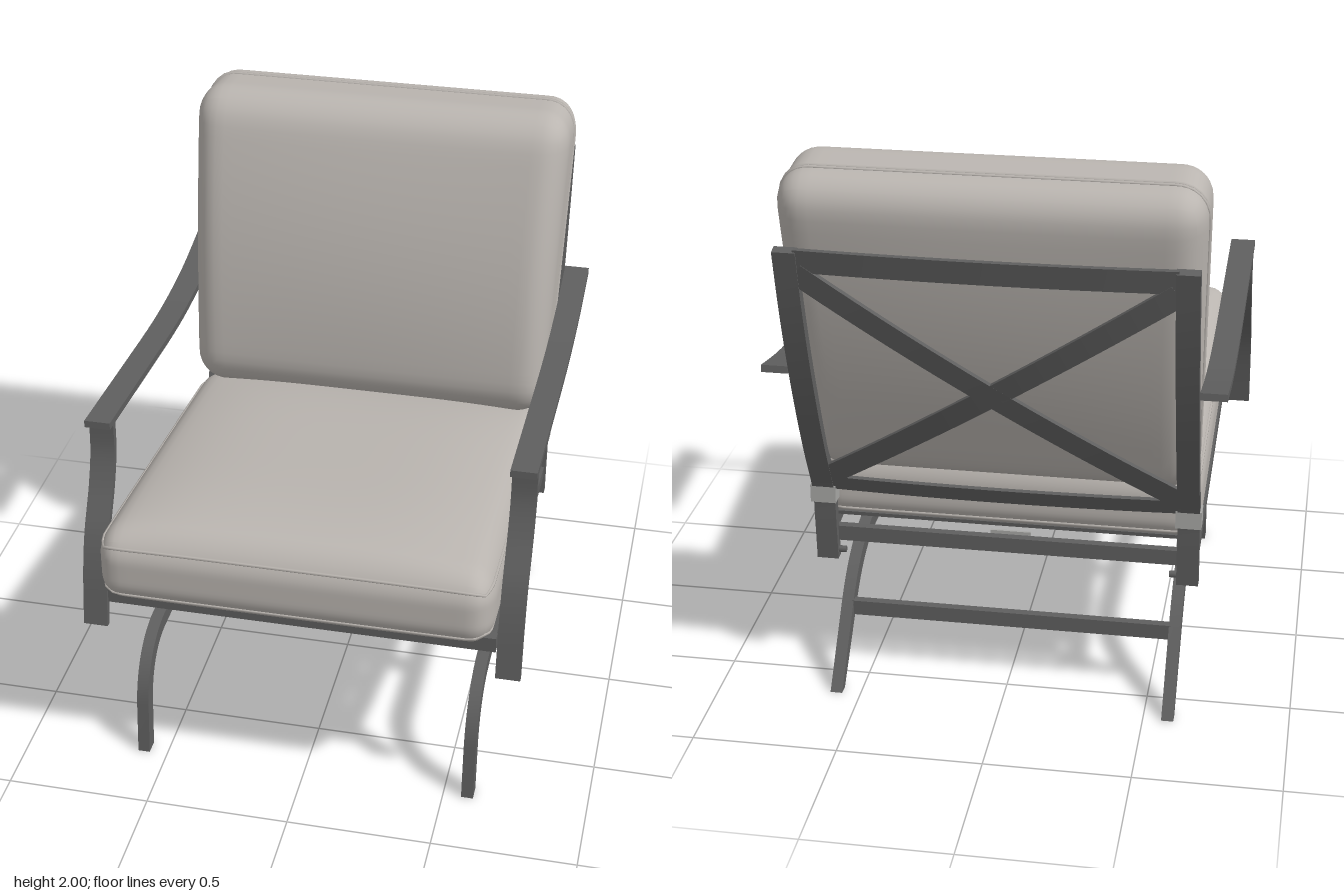
import * as THREE from 'three';
import { mergeVertices, toCreasedNormals } from 'three/addons/utils/BufferGeometryUtils.js';

const mat = (name, color) => {
  const m = new THREE.MeshStandardMaterial({ color });
  m.name = name;
  return m;
};

export function createModel() {
  const fabric = mat('warm grey fabric', 0xbab5b0);
  const metal = mat('dark grey metal', 0x5f5f5f);
  const plastic = mat('light grey plastic', 0xa8a8a6);
  const root = new THREE.Group();
  root.name = 'rockerChair';

  const add = (name, geo, material, x = 0, y = 0, z = 0) => {
    const mesh = new THREE.Mesh(geo, material);
    mesh.name = name;
    mesh.position.set(x, y, z);
    root.add(mesh);
    return mesh;
  };
  const box = (name, w, h, d, x, y, z, material = metal) =>
    add(name, new THREE.BoxGeometry(w, h, d), material, x, y, z);

  const smooth = (pts, n = 28) =>
    new THREE.SplineCurve(pts.map(p => new THREE.Vector2(...p))).getPoints(n);

  // Flat bar of constant thickness following a 2D path, extruded to a width
  function strip(pts, thick, width) {
    const a = [], b = [];
    pts.forEach((p, i) => {
      const t = pts[Math.min(i + 1, pts.length - 1)].clone().sub(pts[Math.max(i - 1, 0)]).normalize();
      const n = new THREE.Vector2(-t.y, t.x).multiplyScalar(thick / 2);
      a.push(p.clone().add(n));
      b.unshift(p.clone().sub(n));
    });
    const outline = [...a, ...b];
    outline.forEach(p => { p.y = Math.max(0, p.y); });
    const geo = new THREE.ExtrudeGeometry(new THREE.Shape(outline), { depth: width, bevelEnabled: false });
    geo.translate(0, 0, -width / 2);
    return toCreasedNormals(geo, 0.5);
  }
  // Path given as (z, y)
  const sideStrip = (pts, thick, width) => strip(pts, thick, width).rotateY(-Math.PI / 2);

  // Rounded cushion: half sizes, corner radii, then a shaping rule
  function cushion(name, half, rad, shape, seams) {
    const map = n => {
      const c = [], d = [];
      for (let i = 0; i < 3; i++) {
        const p = n[i] * half[i], lim = half[i] - rad[i];
        c[i] = THREE.MathUtils.clamp(p, -lim, lim);
        d[i] = (p - c[i]) / rad[i];
      }
      const len = Math.hypot(...d) || 1;
      return new THREE.Vector3(...shape(c.map((v, i) => v + d[i] / len * rad[i])));
    };
    let geo = new THREE.BoxGeometry(2, 2, 2, 36, 28, 36);
    geo.deleteAttribute('uv');
    geo.deleteAttribute('normal');
    geo = mergeVertices(geo);
    const pos = geo.attributes.position;
    const ease = v => Math.sin(v * Math.PI / 2);
    for (let i = 0; i < pos.count; i++) {
      const v = map([ease(pos.getX(i)), ease(pos.getY(i)), ease(pos.getZ(i))]);
      pos.setXYZ(i, v.x, v.y, v.z);
    }
    geo.computeVertexNormals();
    add(name, geo, fabric);

    // Piping runs round the cushion at each seam
    for (const { axis, at } of seams) {
      const loop = [];
      for (let s = 0; s < 4; s++) for (let k = 0; k < 24; k++) {
        const t = ease(-1 + k / 12);
        const [u, v] = [[t, -1], [1, t], [-t, 1], [-1, -t]][s];
        loop.push(map(axis === 1 ? [u, at, v] : [u, v, at]));
      }
      const curve = new THREE.CatmullRomCurve3(loop, true);
      add(name + 'Piping', new THREE.TubeGeometry(curve, 160, 0.006, 6, true), fabric);
    }
  }

  // Seat cushion, crowned on top and tilted back
  cushion('seatCushion', [0.664, 0.135, 0.705], [0.08, 0.1, 0.11], ([x, y, z]) => {
    const u = x / 0.664, w = z / 0.705;
    const crown = Math.max(0, 1 - u ** 4) * Math.max(0, 1 - w ** 4);
    const lift = y > 0 ? 0.072 * (1 + 0.15 * w) : 0.02;
    return [x, 0.82 + y * (1 + lift * crown / 0.135) + 0.112 * z, z + 0.205];
  }, [{ axis: 1, at: 0.74 }, { axis: 1, at: -0.74 }]);

  // Back cushion, leaning, fullest in the middle and thinner at both ends
  cushion('backCushion', [0.664, 0.555, 0.2], [0.1, 0.11, 0.12], ([x, y, z]) => {
    const t = y / 0.555, u = x / 0.664;
    const depth = 1.03 + 0.14 * t - 0.24 * t * t;
    const crown = 1 + 0.08 * Math.max(0, 1 - u * u) * Math.max(0, 1 - t * t);
    return [x * (1 + 0.02 * t), 1.432 + y + (0.2 - 0.1 * t) * z, -0.565 - 0.247 * y + z * depth * crown];
  }, [{ axis: 2, at: -0.3 }, { axis: 2, at: -0.22 }]);

  // Back frame surface: depth for a given height
  const backZ = y => -0.53 - 0.5 * (y - 0.75) + 0.145 * (y - 0.75) ** 2;

  // Bars that follow the bowed back surface
  function backBar(name, x0, y0, x1, y1, h, bow) {
    const geo = new THREE.BoxGeometry(Math.hypot(x1 - x0, y1 - y0), h, 0.022, 24, 1, 1);
    geo.rotateZ(Math.atan2(y1 - y0, x1 - x0));
    geo.translate((x0 + x1) / 2, (y0 + y1) / 2, 0);
    const p = geo.attributes.position;
    for (let i = 0; i < p.count; i++) {
      p.setZ(i, p.getZ(i) + backZ(p.getY(i)) - bow * (1 - (p.getX(i) / 0.63) ** 2));
    }
    geo.computeVertexNormals();
    add(name, geo, metal);
  }
  backBar('backTopRail', -0.6, 1.715, 0.6, 1.715, 0.08, 0.02);
  backBar('backBottomRail', -0.6, 0.785, 0.6, 0.785, 0.06, 0.02);
  backBar('backBrace', -0.6, 0.82, 0.6, 1.67, 0.078, 0.03);
  backBar('backBrace', 0.6, 0.82, -0.6, 1.67, 0.078, 0.03);

  const postPath = smooth([[-0.505, 0.47], [-0.515, 0.62], ...[0.75, 0.95, 1.15, 1.35, 1.55, 1.75].map(y => [backZ(y), y])]);
  const armPath = smooth([[0.64, 1.295], [0.2, 1.26], [-0.1, 1.238], [-0.32, 1.235], [-0.55, 1.252], [-0.78, 1.295]]);
  const armPostPath = smooth([[0.588, 1.285], [0.595, 1.17], [0.638, 1.05], [0.715, 0.91], [0.758, 0.77], [0.788, 0.585]]);
  const legPath = new THREE.Path();
  legPath.moveTo(0.724, -0.01);
  legPath.lineTo(0.705, 0.19);
  legPath.bezierCurveTo(0.69, 0.32, 0.61, 0.4, 0.49, 0.402);
  legPath.lineTo(-0.06, 0.402);
  legPath.bezierCurveTo(-0.2, 0.402, -0.33, 0.34, -0.42, 0.235);
  legPath.lineTo(-0.63, -0.015);

  for (const s of [-1, 1]) {
    add('backPost', sideStrip(postPath, 0.035, 0.075), metal, s * 0.628);
    add('armrest', sideStrip(armPath, 0.024, 0.088), metal, s * 0.711);
    add('armSupport', sideStrip(armPostPath, 0.024, 0.084), metal, s * 0.711);
    add('legFrame', sideStrip(legPath.getPoints(14), 0.054, 0.042), metal, s * 0.585);
    box('postCuff', 0.088, 0.065, 0.058, s * 0.628, 0.735, -0.525, plastic);
    // Seat side rail
    add('seatSideRail', sideStrip([[0.77, 0.702], [-0.5, 0.562]].map(p => new THREE.Vector2(...p)), 0.045, 0.05), metal, s * 0.635);
    // Spring link with its bolts
    box('springLink', 0.12, 0.014, 0.29, s * 0.3, 0.5, 0.115);
    for (const z of [0.22, 0.01]) for (const dx of [-0.028, 0.028]) {
      add('bolt', new THREE.CylinderGeometry(0.012, 0.012, 0.07, 8), metal, s * 0.3 + dx, 0.495, z);
    }
    box('hangerBracket', 0.06, 0.1, 0.08, s * 0.515, 0.62, 0.01);
    add('postBolt', new THREE.CylinderGeometry(0.012, 0.012, 0.03, 8).rotateZ(Math.PI / 2), metal, s * 0.58, 0.5, -0.505);
  }

  // Seat frame cross rails and wide slats close under the cushion
  box('seatFrontRail', 1.33, 0.055, 0.035, 0, 0.708, 0.765);
  box('seatRearRail', 1.2, 0.055, 0.03, 0, 0.562, -0.49);
  for (let i = 0; i < 6; i++) {
    const z = -0.36 + i * 0.2;
    box('seatSlat', 1.23, 0.014, 0.13, 0, 0.641 + 0.095 * z, z).rotation.x = -0.1;
  }
  box('rearTag', 0.14, 0.072, 0.009, -0.01, 0.565, -0.469, plastic);

  // Rocker cross arch on the legs and hanger under the seat
  const arch = half => smooth([...half.map(([x, y]) => [-x, y]), ...half.slice().reverse()], 48);
  add('legArch', strip(arch([[0.575, 0.405], [0.5, 0.455], [0.43, 0.482], [0.38, 0.487], [0.1, 0.487]]), 0.018, 0.08), metal, 0, 0, 0.22);
  add('seatHanger', strip(arch([[0.525, 0.62], [0.505, 0.565], [0.455, 0.52], [0.4, 0.512], [0.1, 0.512]]), 0.018, 0.08), metal, 0, 0, 0.01);
  box('rearLegCrossbar', 1.14, 0.055, 0.03, 0, 0.228, -0.425);

  return root;
}
